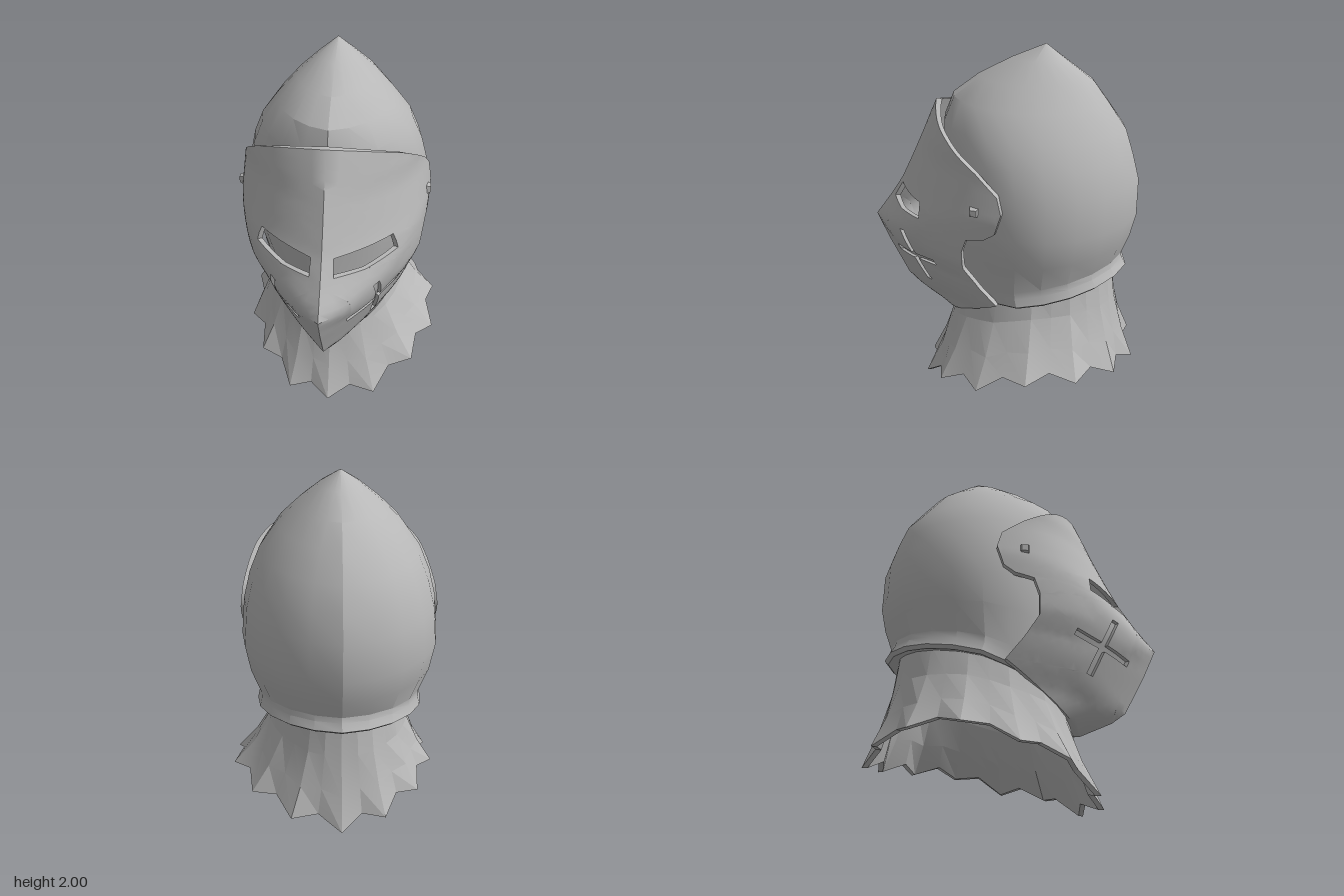
import * as THREE from 'three';
import { mergeGeometries, toCreasedNormals } from 'three/addons/utils/BufferGeometryUtils.js';

const steel = new THREE.MeshStandardMaterial({ color: 0xb8b8b8, side: THREE.DoubleSide });
steel.name = 'steel';

const clamp = THREE.MathUtils.clamp, lerp = THREE.MathUtils.lerp;

// piecewise-linear lookup in [key, value] pairs with rising keys
function lookup(table, k) {
  if (k <= table[0][0]) return table[0][1];
  for (let i = 1; i < table.length; i++) {
    const [k0, v0] = table[i - 1], [k1, v1] = table[i];
    if (k <= k1) return lerp(v0, v1, (k - k0) / (k1 - k0));
  }
  return table[table.length - 1][1];
}

function triangles(points) {
  const g = new THREE.BufferGeometry();
  g.setAttribute('position', new THREE.Float32BufferAttribute(points.flat(), 3));
  return g;
}

// skin closed rings of points, listed from top to bottom
function loft(rows) {
  const out = [];
  for (let i = 0; i < rows.length - 1; i++) {
    const n = rows[i].length;
    for (let j = 0; j < n; j++) {
      const k = (j + 1) % n;
      const a = rows[i][j], b = rows[i + 1][j], c = rows[i + 1][k], d = rows[i][k];
      out.push(a, b, c, a, c, d);
    }
  }
  return triangles(out);
}

function addMesh(parent, name, geometry) {
  const m = new THREE.Mesh(geometry, steel);
  m.name = name;
  parent.add(m);
  return m;
}

// ---- skull: pointed dome with a flared lower rim ----
function skullGeometry() {
  const N = 20;
  // y at the back, z back, z front, half width, slope of the row, narrowing at the front
  const sections = [
    [2.0, -0.231, -0.229, 0.001, 0, 0],
    [1.92, -0.345, -0.045, 0.105, 0, 0],
    [1.82, -0.49, 0.14, 0.215, 0, 0],
    [1.71, -0.575, 0.285, 0.32, 0, 0],
    [1.58, -0.67, 0.34, 0.415, 0, 0],
    [1.45, -0.715, 0.34, 0.47, 0, 0],
    [1.31, -0.755, 0.33, 0.505, 0, 0],
    [1.1, -0.758, 0.32, 0.525, 0, 0],
    [0.97, -0.73, 0.31, 0.5, -0.08, 0.08],
    [0.86, -0.69, 0.3, 0.45, -0.2, 0.15],
    [0.83, -0.695, 0.3, 0.45, -0.22, 0.2],
    [0.79, -0.72, 0.3, 0.46, -0.22, 0.3],
    [0.77, -0.7, 0.28, 0.44, -0.22, 0.3],
    [0.785, -0.6, 0.2, 0.34, -0.22, 0.3],
  ];
  const rows = sections.map(([y, zb, zf, w, slope, narrow]) => Array.from({ length: N }, (_, j) => {
    const a = (j / N) * Math.PI * 2, s = Math.sin(a), c = Math.cos(a);
    const ridge = c > 0 ? 0.13 : 0.09;
    const z = (zb + zf) / 2 + ((zf - zb) / 2) * c * (1 - ridge * Math.abs(s));
    return [w * s * (1 - narrow * Math.max(0, c)), y + slope * (z - zb), z];
  }));
  return toCreasedNormals(loft(rows), 0.43);
}

// ---- visor: side outline with holes, bent round the face by a rule ----
const ridgeLine = [[0.35, 0.39], [0.53, 0.47], [0.61, 0.53], [0.73, 0.75], [0.805, 0.91],
  [0.7, 1.05], [0.62, 1.17], [0.55, 1.31], [0.47, 1.48], [0.39, 1.66]];
const sideEdge = [[0.2, 1.56], [0, 1.43], [-0.12, 1.33], [-0.145, 1.24], [-0.11, 1.13],
  [-0.05, 1.09], [0.05, 1.07], [0.08, 0.99], [0.08, 0.88], [0, 0.76], [-0.09, 0.65]];
const ridgeZ = ridgeLine.map(([z, y]) => [y, z]);
const fullWidth = [[0.39, 0.42], [0.54, 0.42], [0.66, 0.45], [0.91, 0.52], [1.2, 0.54], [1.45, 0.51]];
const reach = [[1.2, 0.95], [1.3, 0.9], [1.5, 0.82]];
const bluntness = [[0.8, 2.1], [1.15, 3.3], [1.4, 3.4], [1.6, 4]];

function visorWidth(z, y) {
  // the ridge line is rounded more and more with distance from it
  const spread = clamp(0.5 * (lookup(ridgeZ, y) - z), 0, 0.2);
  let d = -z;
  for (let k = -4; k <= 4; k++) d += lookup(ridgeZ, y + (k / 4) * spread) / 9;
  const ratio = 1 - Math.pow(1 - clamp(d / lookup(reach, y), 0, 1), lookup(bluntness, y));
  return { ratio, x: lookup(fullWidth, y) * ratio };
}

// halve the longest edge until all edges are short
function subdivide(a, b, c, max, out) {
  const ab = a.distanceTo(b), bc = b.distanceTo(c), ca = c.distanceTo(a);
  const longest = Math.max(ab, bc, ca);
  if (longest <= max) { out.push(a, b, c); return; }
  if (longest === bc) [a, b, c] = [b, c, a];
  else if (longest === ca) [a, b, c] = [c, a, b];
  const m = a.clone().add(b).multiplyScalar(0.5);
  subdivide(a, m, c, max, out);
  subdivide(m, b, c, max, out);
}

// plate from a side-view shape, from one depth under the visor surface to another
function bentPlate(shape, from, to) {
  const flat = new THREE.ExtrudeGeometry(shape, { depth: to - from, bevelEnabled: false });
  const p = flat.attributes.position, pts = [];
  const at = (i) => new THREE.Vector3().fromBufferAttribute(p, i);
  for (let i = 0; i < p.count; i += 3) subdivide(at(i), at(i + 1), at(i + 2), 0.05, pts);

  const half = pts.map((q) => {
    const { ratio, x } = visorWidth(q.x, q.y), depth = q.z + from;
    return [x - depth * ratio, q.y, q.x - depth * (1 - ratio)];
  });
  const other = [];
  for (let i = 0; i < half.length; i += 3) {
    for (const k of [0, 2, 1]) other.push([-half[i + k][0], half[i + k][1], half[i + k][2]]);
  }
  return toCreasedNormals(mergeGeometries([triangles(half), triangles(other)]), 0.8);
}

const path = (pts) => pts.map(([z, y]) => new THREE.Vector2(z, y));
const eyeSlot = [[0.645, 1.075], [0.595, 1.16], [0.37, 1.175], [0.37, 1.09], [0.54, 1.065]];
const w = 0.11;
const cross = [[w, w], [1, w], [1, -w], [w, -w], [w, -1], [-w, -1],
  [-w, -w], [-1, -w], [-1, w], [-w, w], [-w, 1], [w, 1]]
  .map(([h, v]) => [0.445 - 0.165 * h + 0.075 * v, 0.805 + 0.033 * h + 0.153 * v]);

function visorGeometry() {
  const shape = new THREE.Shape(path([...ridgeLine, ...sideEdge]));
  shape.holes.push(new THREE.Path(path(eyeSlot)), new THREE.Path(path(cross)));
  return bentPlate(shape, 0, 0.035);
}

// ---- neck cape: flared skirt with a toothed hem, closed inside by a cone ----
function capeGeometry() {
  const N = 28;
  const hem = [[0, 0], [26, 0.02], [52, 0.15], [77, 0.2], [103, 0.29], [129, 0.28], [154, 0.24], [180, 0.19]];
  const ring = (t, inset) => Array.from({ length: N }, (_, j) => {
    const a = (j / N) * Math.PI * 2, s = Math.sin(a), c = Math.cos(a);
    const degrees = (Math.acos(clamp(c, -1, 1)) * 180) / Math.PI;
    const notch = (j % 2) * t * t * t;
    const flare = Math.pow(t, 1.7);
    const hemWidth = s > 0 ? 0.625 : 0.545;
    const rx = lerp(0.36, hemWidth, flare) - 0.06 * notch - inset;
    const rz = lerp(c > 0 ? 0.43 : 0.475, 0.63, flare) - 0.06 * notch - inset;
    const y = lerp(0.71 - 0.09 * c, lookup(hem, degrees), t) + 0.045 * notch;
    return [rx * s, y, -0.165 + rz * c];
  });
  const steps = [0, 0.35, 0.7, 1];
  const rows = [...steps.map((t) => ring(t, 0)), ...steps.reverse().map((t) => ring(t, 0.03))];
  rows.push(Array.from({ length: N }, () => [0, 0.85, -0.165]));
  return toCreasedNormals(loft(rows), 0.2);
}

export function createModel() {
  const model = new THREE.Group();
  model.name = 'helmet';
  const helm = new THREE.Group();
  helm.name = 'helmetBody';
  helm.position.x = -0.045;
  model.add(helm);

  addMesh(helm, 'skull', skullGeometry());
  addMesh(helm, 'visor', visorGeometry());
  addMesh(helm, 'crossRecessFloors', bentPlate(new THREE.Shape(path(cross)), 0.028, 0.033));
  addMesh(helm, 'neckCape', capeGeometry());

  // square pivot studs on both sides of the visor
  for (const side of [-1, 1]) {
    const stud = addMesh(helm, side > 0 ? 'leftPivot' : 'rightPivot',
      toCreasedNormals(new THREE.CylinderGeometry(0.024, 0.04, 0.03, 4).rotateY(Math.PI / 4), 0.3));
    stud.rotation.z = -side * Math.PI / 2;
    stud.position.set(side * (visorWidth(0, 1.235).x + 0.002), 1.235, 0);
  }
  return model;
}
